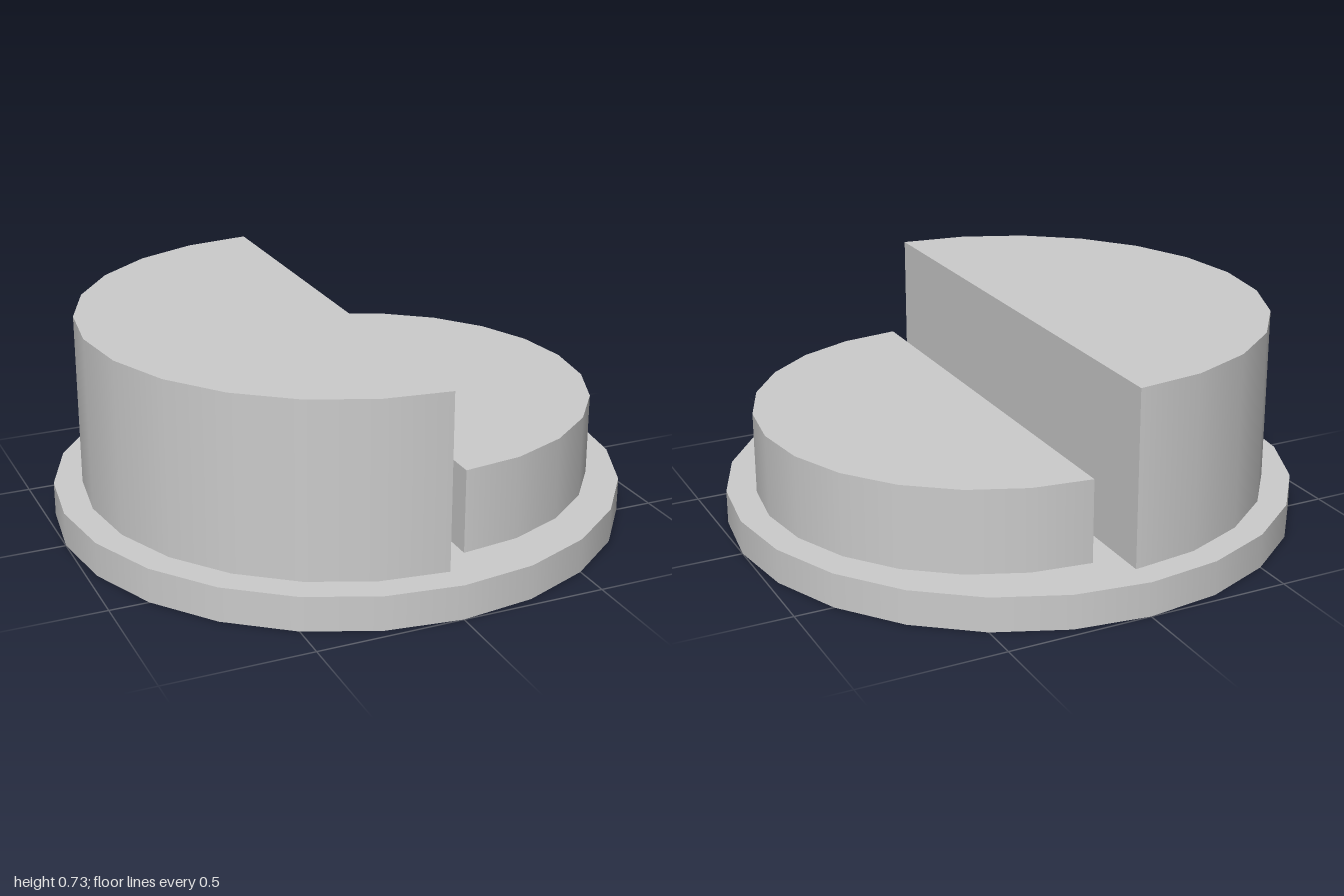
import * as THREE from 'three';

const material = new THREE.MeshStandardMaterial({ color: 0xcccccc });
const BASE_HEIGHT = 0.12;

// Half disc block standing on the base; side is +1 for a +x bulge, -1 for -x
function halfBlock(name, side, radius, top, x) {
  const height = top - BASE_HEIGHT;
  const group = new THREE.Group();
  group.name = name;

  // rounded wall with its top and bottom
  const body = new THREE.Mesh(
    new THREE.CylinderGeometry(radius, radius, height, 12, 1, false, side > 0 ? 0 : Math.PI, Math.PI),
    material
  );
  body.name = name + 'Body';

  // flat cut face, looking away from the bulge
  const face = new THREE.Mesh(new THREE.PlaneGeometry(radius * 2, height), material);
  face.name = name + 'CutFace';
  face.rotation.y = -side * Math.PI / 2;

  group.add(body, face);
  group.position.set(x, BASE_HEIGHT + height / 2, 0);
  return group;
}

export function createModel() {
  const model = new THREE.Group();
  model.name = 'splitRoundPedestal';

  // round base plate
  const base = new THREE.Mesh(new THREE.CylinderGeometry(1, 1, BASE_HEIGHT, 24), material);
  base.name = 'basePlate';
  base.position.y = BASE_HEIGHT / 2;
  model.add(base);

  // tall half on the right, low half on the left with a gap between
  model.add(halfBlock('tallHalf', -1, 0.9, 0.73, 0));
  model.add(halfBlock('lowHalf', 1, 0.8, 0.41, 0.1));
  return model;
}
